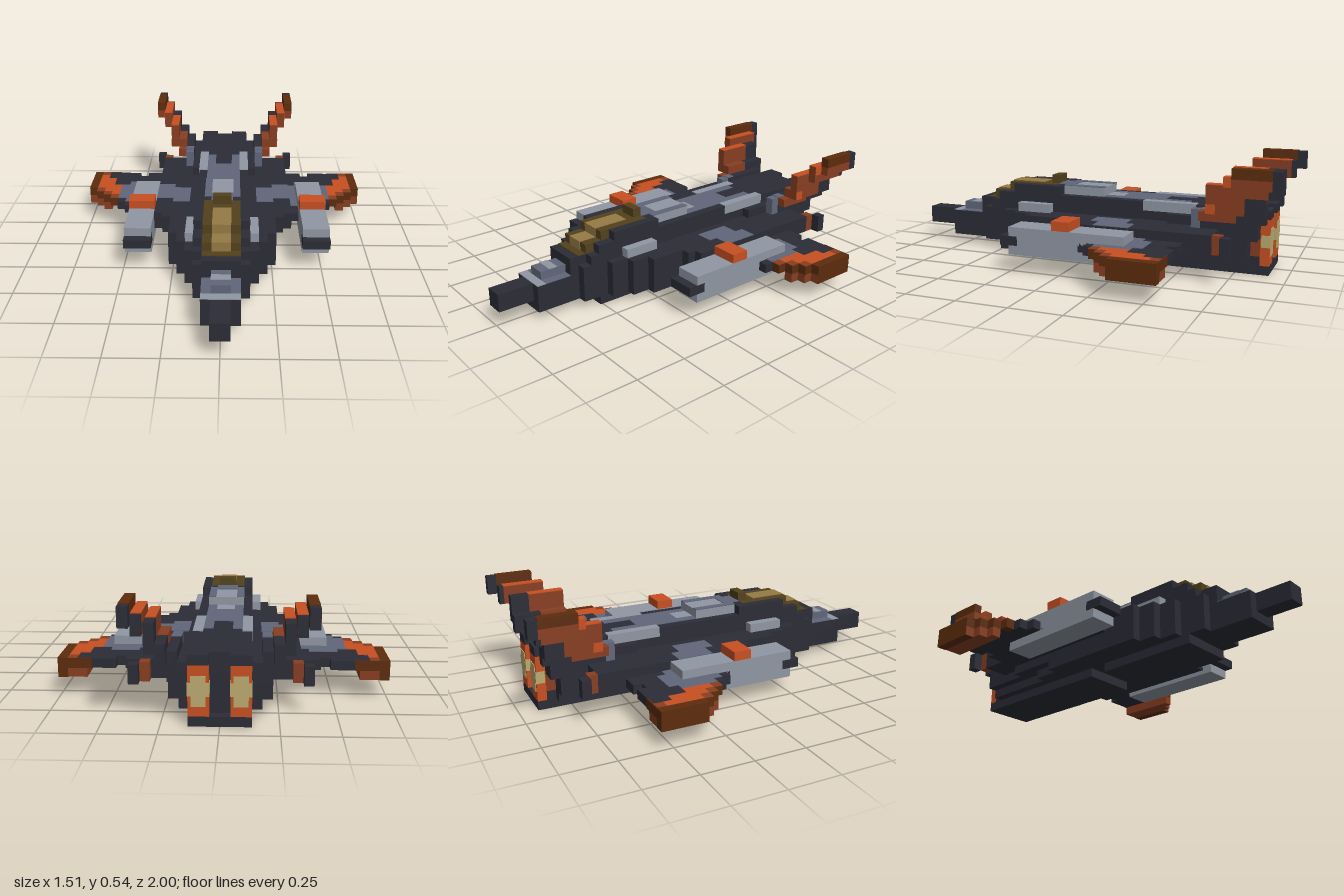
import * as THREE from 'three';

const V = 2 / 45; // edge of one block
const mat = (name, color) => {
  const m = new THREE.MeshStandardMaterial({ color });
  m.name = name;
  return m;
};

export function createModel() {
  const dark = mat('charcoal', 0x2b2c36), slate = mat('slate', 0x60677a), gray = mat('light gray', 0x9097a3);
  const orange = mat('orange', 0xc85022), rust = mat('rust', 0x883e21), brown = mat('brown', 0x5d2c0d);
  const gold = mat('gold glass', 0x957a45), olive = mat('olive frame', 0x52411b), cream = mat('cream glow', 0xbcab70);
  const model = new THREE.Group();

  // Single block given by its bounds in grid units
  function box(name, m, x0, x1, y0, y1, z0, z1) {
    const mesh = new THREE.Mesh(new THREE.BoxGeometry((x1 - x0) * V, (y1 - y0) * V, (z1 - z0) * V), m);
    mesh.name = name;
    mesh.position.set((x0 + x1) / 2 * V, (y0 + y1) / 2 * V, (z0 + z1) / 2 * V);
    model.add(mesh);
  }
  // Symmetric block: from x0 = 0 it spans the centre line, otherwise it is mirrored
  function block(name, m, x0, x1, ...yz) {
    box(name, m, x0 === 0 ? -x1 : x0, x1, ...yz);
    if (x0 !== 0) box(name, m, -x1, -x0, ...yz);
  }
  // Thin painted plate lying on a top face
  const paint = (name, m, x0, x1, y, z0, z1) => block(name, m, x0, x1, y, y + 0.08, z0, z1);

  // Nose and stepped fuselage: half width, bottom, top, back, front
  block('noseTip', dark, 0, 1, 2, 4, 18, 22.5);
  [
    [2, 1, 4, 13, 18.5], [3, 1, 5, -19.5, 13.5], [4, 1, 5, -18.5, 10.5],
    [5, 2, 5, -18.5, 8.5], [5, 1, 2, -9.5, 8.5], [6, 1, 5, -6.5, 6.5], [6, 2, 5, -12.5, -6.5],
    [5, 4, 5, -19.5, -18.5],
    [2, 4, 5, 13, 14.5], [2, 5, 6, 12.5, 14.5], [3, 5, 6, -19.5, 12.5],
    [3, 6, 7, -19.5, 11.5], [3, 7, 8, 3.5, 9.5], [4, 5, 6, -19.5, -9.5],
  ].forEach(([w, y0, y1, z0, z1]) => block('fuselage', dark, 0, w, y0, y1, z0, z1));
  block('frontKeel', dark, 0, 3, 0, 1, -0.5, 11.5);
  block('rearKeel', dark, 0, 3, 0, 1, -20.5, -2.5);
  block('noseSensor', slate, 0, 1, 4, 5, 14.5, 17.5);
  paint('nosePanel', gray, 0, 2, 4, 17.5, 18.5);
  paint('nosePanel', slate, 1, 2, 4, 14.5, 17.5);
  paint('sensorTop', gray, 0, 1, 5, 15.5, 16.5);

  // Canopy stepping up towards the rear
  block('canopyFrame', olive, 0, 2, 6, 7.04, 10.5, 12.55);
  block('canopyFrame', olive, 0, 2, 7, 8.04, 4.5, 10.55);
  paint('canopyFrame', olive, 0, 2, 6, 12.5, 13.5);
  block('canopyGlass', gold, 0, 1, 6, 7.1, 10.5, 12.62);
  block('canopyGlass', gold, 0, 1, 7, 8.12, 6.5, 10.62);
  block('canopyRearCap', olive, 0, 1, 8, 9, 4.5, 5.5);

  // Shoulders, spine and back panels
  block('shoulder', gray, 3, 4, 5, 6, 4.5, 8.5);
  block('spine', gray, 0, 2, 7, 8, -1.5, 3.5);
  paint('spinePanel', slate, 1.2, 2, 8, -1.5, 3.5);
  paint('spinePanel', slate, 0, 1.2, 8, 2.5, 4.5);
  paint('backPanel', gray, 0, 1, 7, -3.5, -1.5);
  paint('backPanel', slate, 1, 2, 7, -11.5, -1.5);
  paint('backPanel', slate, 0, 1, 7, -8.5, -3.5);
  block('backRidge', gray, 2, 3.05, 6, 7.1, -12.5, -6.5);

  // Inner wings
  block('wingRoot', dark, 5, 7, 3, 5, -13.5, 2.5);
  block('wingRoot', dark, 7, 8, 3, 5, -13.5, 1.5);
  block('innerWing', dark, 8, 9, 3, 4, -12.5, -0.5);
  block('innerWing', dark, 9, 10, 3, 4, -12.5, -2);
  block('innerWing', dark, 10, 11, 3, 4, -11.5, -2);
  paint('wingPanel', slate, 4, 6, 5, -5.5, -1.5);
  paint('wingPanel', slate, 6, 8, 5, -6.5, -2.5);
  paint('wingPanel', slate, 8, 9, 4, -8.5, -2.5);
  paint('wingPanel', slate, 9, 12, 4, -9.5, -3.5);

  // Outer wings with stepped leading edge and coloured tips
  for (let i = 0; i < 6; i++) {
    const x = 11 + i, front = -2.5 - i;
    block('outerWing', dark, x, x + 1, 3, 4, -12.5, front - 1);
    block('leadingEdge', i < 2 ? dark : brown, x, x + 1, 3, 4, front - 1, front);
    if (i > 1 && i < 5) paint('leadingEdgeTop', rust, x, x + 1, 4, front - 1, front);
    if (i > 2) block('wingTipUnderside', rust, x, x + 1, 2, 3, -12.5, front);
  }
  paint('wingPanel', slate, 12, 13, 4, -8.5, -4.5);
  paint('tipPaint', orange, 13, 14, 4, -8.5, -5.5);
  paint('tipPaint', orange, 14, 15, 4, -10.5, -6.5);
  paint('tipPaint', orange, 15, 16, 4, -11.5, -7.5);
  paint('tipPaint', rust, 15, 16, 4, -12.5, -11.5);
  block('wingTipEdge', brown, 16, 17.02, 1.98, 4.06, -12.55, -7.52);
  block('wingTrailingEdge', brown, 13.5, 16, 2.98, 4.04, -12.56, -12.4);

  // Wing pods, the right one sitting one block closer in
  for (const x of [-11, 9]) {
    box('pod', gray, x, x + 3, 2, 5, -7.5, 5.5);
    box('podNose', dark, x - 0.03, x + 3.03, 3, 4, 4.5, 6.5);
    box('podBand', orange, x, x + 3, 5, 6, -1.5, 0.5);
  }

  // Tail stubs stepping outwards
  block('tailStub', dark, 5, 7, 3, 5, -15.5, -12.5);
  block('tailStub', dark, 7, 8, 3, 5, -15.5, -13.5);
  block('tailStubJoint', rust, 7, 8, 3, 5, -16.5, -15.5);
  block('tailStubTip', dark, 8, 9, 3, 5, -17.5, -16.5);

  // Outward leaning tail fins: x, bottom, top, back, dark rear up to, front, main colour, top colour
  block('finRoot', dark, 4, 5, 5, 7, -19.5, -13.5);
  paint('finRootPanel', slate, 4, 5, 7, -14.5, -13.5);
  block('finRootFront', slate, 4, 5, 5, 7, -13.5, -12.5);
  [
    [5, 6, 8, -20.5, -17.5, -14.5, rust, rust],
    [6, 7, 10, -20.5, -18.5, -14.5, rust, orange],
    [7, 9, 11, -21.5, -21, -16.5, rust, orange],
    [8, 10, 11, -22.5, -21.5, -17.5, rust, rust],
    [8, 11, 12, -22.5, -21.5, -17.5, brown, brown],
  ].forEach(([x, y0, y1, z0, split, z1, m, top]) => {
    block('fin', m, x, x + 1, y0, y1, split, z1);
    block('finRear', dark, x, x + 1, y0, y1, z0, split);
    if (y1 !== 11 || x === 7) paint('finTop', top, x, x + 1, y1, split, z1);
  });
  block('finFoot', rust, 5, 6, 6, 7, -14.5, -13.5);
  block('finOuterPanel', orange, 7.96, 8.04, 10, 11, -17.5, -16.5);
  block('finOuterPanel', orange, 6.96, 7.04, 7, 8, -15.5, -14.5);

  // Twin exhausts: dark cap, orange shell, cream glow
  block('exhaustCap', dark, 1, 3, 6, 7, -20.5, -19.5);
  block('exhaust', orange, 1, 3, 1, 6, -20.5, -19.5);
  block('exhaustSide', rust, 2.9, 3.04, 2, 4, -19.5, -18.5);
  block('exhaustGlow', cream, 1.3, 2.7, 2, 5, -20.58, -20.4);
  block('exhaustGlow', cream, 0.95, 3.05, 3, 4.3, -20.57, -19.6);
  return model;
}
